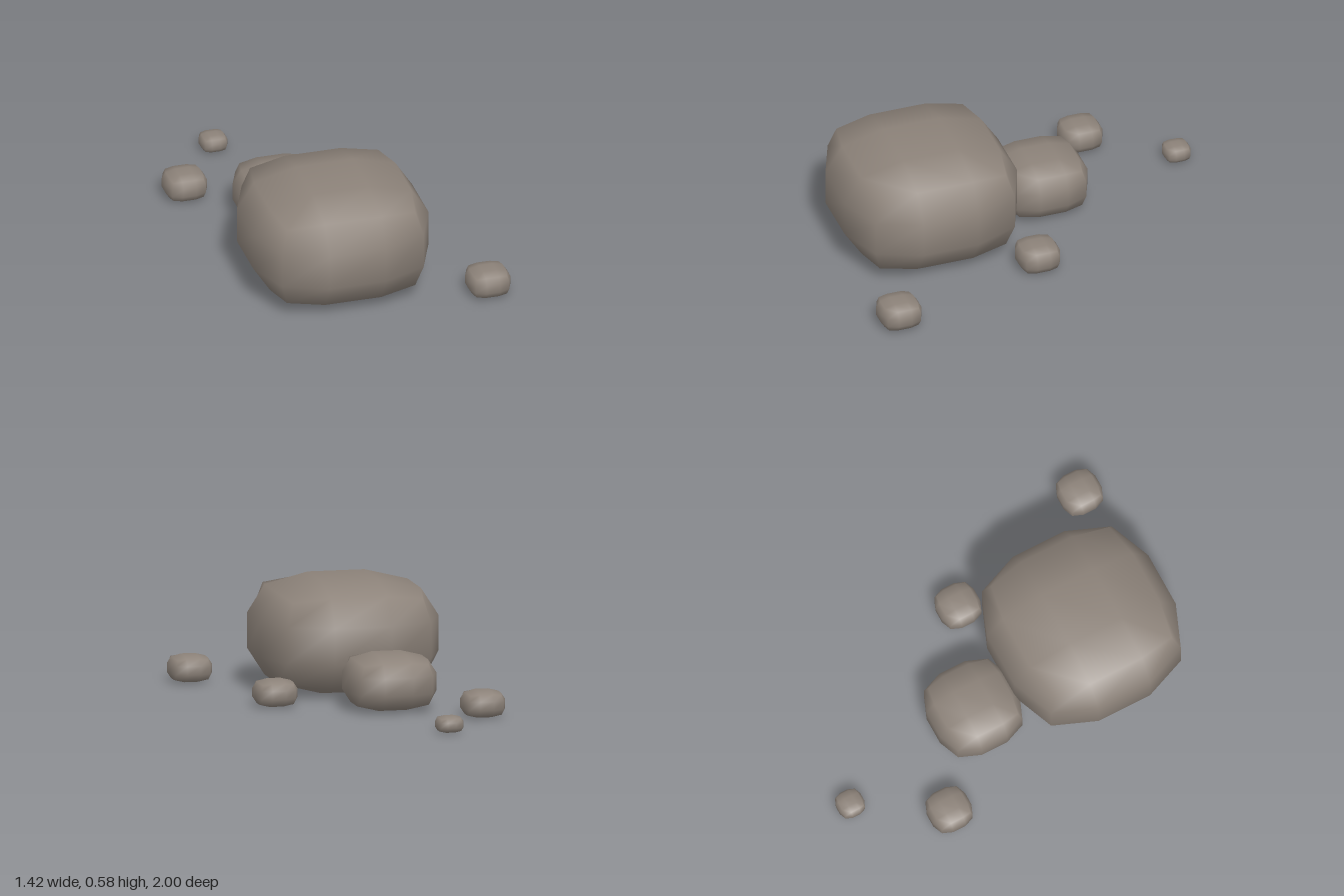
import * as THREE from 'three';
import { mergeVertices } from 'three/addons/utils/BufferGeometryUtils.js';

// Unit rock: a 3x3x3 box whose edges and corners are pulled in, smooth shaded
function rockGeometry() {
  const box = new THREE.BoxGeometry(2, 2, 2, 3, 3, 3);
  box.deleteAttribute('uv');
  box.deleteAttribute('normal');
  const geo = mergeVertices(box, 1e-3);
  const pos = geo.attributes.position;
  const outer = [0, 1, 0.805, 0.73]; // face, edge and corner vertices
  for (let i = 0; i < pos.count; i++) {
    const p = [pos.getX(i), pos.getY(i), pos.getZ(i)];
    const extremes = p.filter((v) => Math.abs(v) > 0.9).length;
    const q = p.map((v) => Math.sign(v) * (Math.abs(v) > 0.9 ? outer[extremes] : 0.32));
    pos.setXYZ(i, ...q);
  }
  return geo;
}

export function createModel() {
  const group = new THREE.Group();
  const stone = new THREE.MeshStandardMaterial({ color: 0x8c8279 });
  stone.name = 'stone';

  // name, x, z, width, height
  const rocks = [
    ['boulder', -0.115, 0.52, 0.93, 0.58],
    ['mediumRock', -0.2, -0.15, 0.46, 0.285],
    ['leftFrontRock', 0.6, 0.89, 0.22, 0.138],
    ['leftMiddleRock', 0.35, 0.055, 0.22, 0.138],
    ['rightBackRock', -0.605, -0.505, 0.22, 0.138],
    ['pebble', -0.33, -0.93, 0.14, 0.085],
  ];
  for (const [name, x, z, width, height] of rocks) {
    const geo = rockGeometry();
    geo.scale(width / 2, height / 2, width / 2);
    geo.computeVertexNormals();
    const rock = new THREE.Mesh(geo, stone);
    rock.name = name;
    rock.position.set(x, height / 2, z);
    group.add(rock);
  }
  return group;
}
